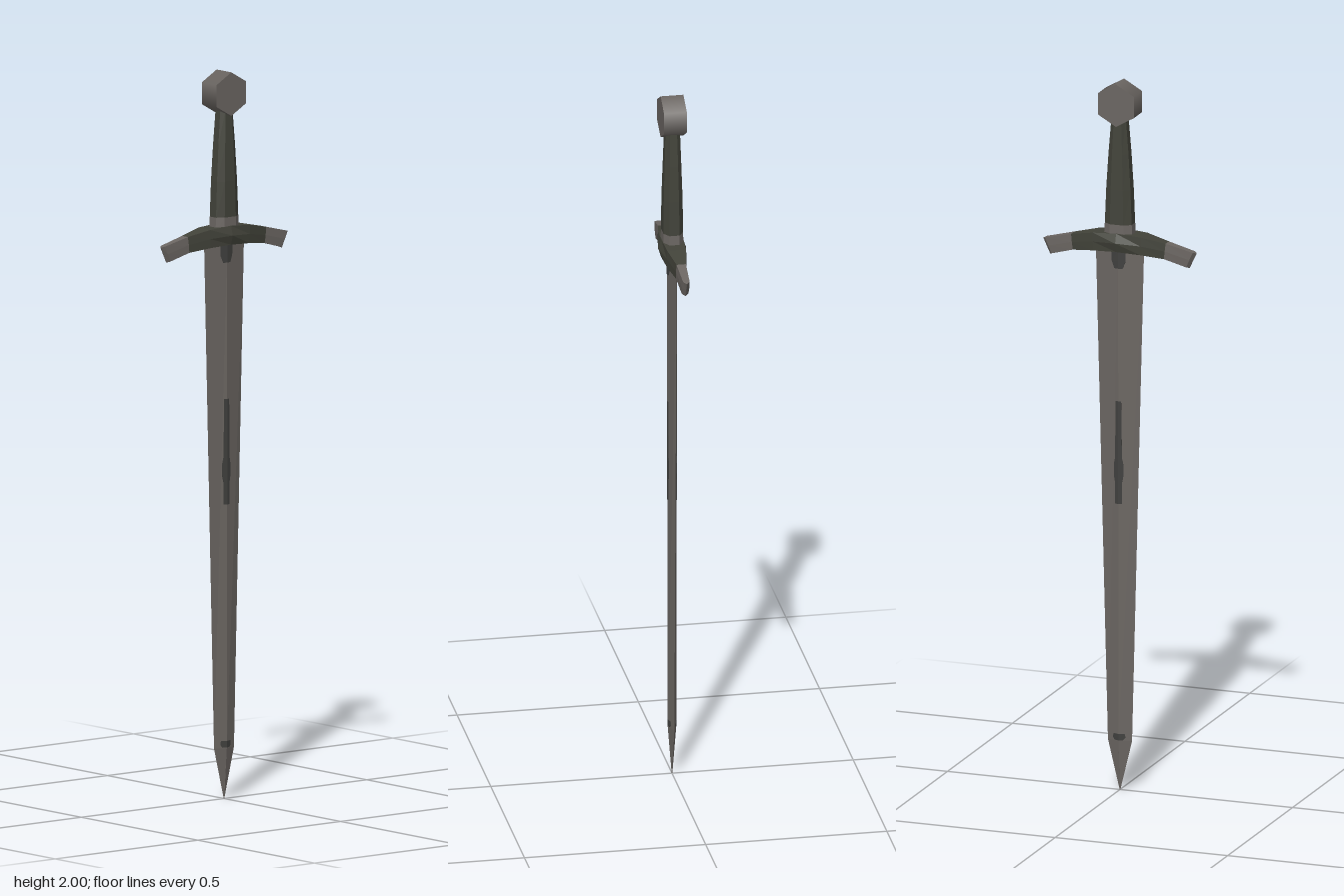
import * as THREE from 'three';

const steel = new THREE.MeshStandardMaterial({ name: 'worn steel', color: 0x6b6662 });
const darkIron = new THREE.MeshStandardMaterial({ name: 'dark iron', color: 0x42433a });
const inlayDark = new THREE.MeshStandardMaterial({ name: 'dark inlay', color: 0x40403e });

// Skins a row of closed rings with flat faces and caps both ends.
// Rings run counter-clockwise seen from the far end.
function loft(name, rings, material) {
  const pos = [];
  const tri = (a, b, c) => pos.push(...a, ...b, ...c);
  const n = rings[0].length;
  for (let k = 0; k < rings.length - 1; k++) {
    for (let i = 0; i < n; i++) {
      const j = (i + 1) % n;
      const [a, b, c, d] = [rings[k][i], rings[k][j], rings[k + 1][j], rings[k + 1][i]];
      tri(a, b, c);
      tri(a, c, d);
    }
  }
  const first = rings[0], last = rings[rings.length - 1];
  for (let i = 1; i < n - 1; i++) {
    tri(first[0], first[i + 1], first[i]);
    tri(last[0], last[i], last[i + 1]);
  }
  const geometry = new THREE.BufferGeometry();
  geometry.setAttribute('position', new THREE.Float32BufferAttribute(pos, 3));
  geometry.computeVertexNormals();
  const mesh = new THREE.Mesh(geometry, material);
  mesh.name = name;
  return mesh;
}

// Blade: diamond section, [height, half width, half thickness]
const bladeStations = [[0, 0.001, 0.001], [0.14, 0.035, 0.012], [1.54, 0.07, 0.014]];

function makeBlade() {
  const rings = bladeStations.map(([y, w, t]) => [[0, y, t], [w, y, 0], [0, y, -t], [-w, y, 0]]);
  return loft('blade', rings, steel);
}

// Inlay that follows the blade's ridge and shows on both faces, rows of [height, half width]
function makeInlay(name, rows) {
  const [, [y0, w0, t0], [y1, w1, t1]] = bladeStations;
  const rings = rows.map(([y, x]) => {
    const f = (y - y0) / (y1 - y0);
    const w = w0 + (w1 - w0) * f, t = t0 + (t1 - t0) * f;
    const ridge = t + 0.001, side = t * (1 - x / w) + 0.001;
    return [[0, y, ridge], [x, y, side], [x, y, -side], [0, y, -ridge], [-x, y, -side], [-x, y, side]];
  });
  return loft(name, rings, inlayDark);
}

// Guard: six-sided section of one half, [top x, top y, bottom x, bottom y, half depth, ridge half depth]
const guardHalf = [
  [0, 1.578, 0, 1.526, 0.03, 0.038],
  [0.07, 1.573, 0.068, 1.523, 0.026, 0.027],
  [0.137, 1.559, 0.132, 1.515, 0.013, 0.014],
  [0.214, 1.54, 0.195, 1.497, 0.009, 0.01],
  [0.222, 1.537, 0.202, 1.494, 0.001, 0.001],
];

function guardRing([tx, ty, bx, by, z, r], side) {
  const mx = (tx + bx) / 2, my = (ty + by) / 2;
  return [[tx, ty, z], [mx, my, r], [bx, by, z], [bx, by, -z], [mx, my, -r], [tx, ty, -z]]
    .map(([x, y, d]) => [x * side, y, d]);
}

function makeGuard() {
  const guard = new THREE.Group();
  guard.name = 'crossGuard';
  const left = guardHalf.map((s) => guardRing(s, 1));
  const right = guardHalf.map((s) => guardRing(s, -1)).reverse();
  guard.add(
    loft('guardCentre', [...right.slice(2), ...left.slice(1, 3)], darkIron),
    loft('guardEndLeft', left.slice(2), steel),
    loft('guardEndRight', right.slice(0, 3), steel),
  );
  return guard;
}

// Eight-sided ring with cut corners, used by the grip and its collar
function gripRing([y, w, d]) {
  const a = w * 0.5, b = d * 0.5;
  return [[a, d], [w, b], [w, -b], [a, -d], [-a, -d], [-w, -b], [-w, b], [-a, d]].map(([x, z]) => [x, y, z]);
}

// Pommel: six-sided disc facing front, its rim shaded smooth
function makePommel() {
  const geometry = new THREE.CylinderGeometry(0.06, 0.06, 0.063, 6);
  geometry.rotateX(Math.PI / 2);
  const pommel = new THREE.Mesh(geometry, steel);
  pommel.name = 'pommel';
  pommel.position.y = 1.94;
  return pommel;
}

export function createModel() {
  const sword = new THREE.Group();
  sword.name = 'sword';
  sword.add(
    makeBlade(),
    makeInlay('shoulderInlay', [[1.475, 0.012], [1.495, 0.02], [1.53, 0.02]]),
    makeInlay('middleInlay', [[0.81, 0.01], [0.87, 0.01], [0.89, 0.014], [0.92, 0.014], [0.94, 0.01], [1.1, 0.008]]),
    makeInlay('tipInlay', [[0.142, 0.012], [0.15, 0.018], [0.16, 0.016]]),
    makeGuard(),
    loft('gripCollar', [[1.565, 0.041, 0.028], [1.602, 0.039, 0.027]].map(gripRing), steel),
    loft('grip', [[1.6, 0.039, 0.027], [1.7, 0.035, 0.026], [1.8, 0.029, 0.023], [1.9, 0.021, 0.02]].map(gripRing), darkIron),
    makePommel(),
  );
  return sword;
}
